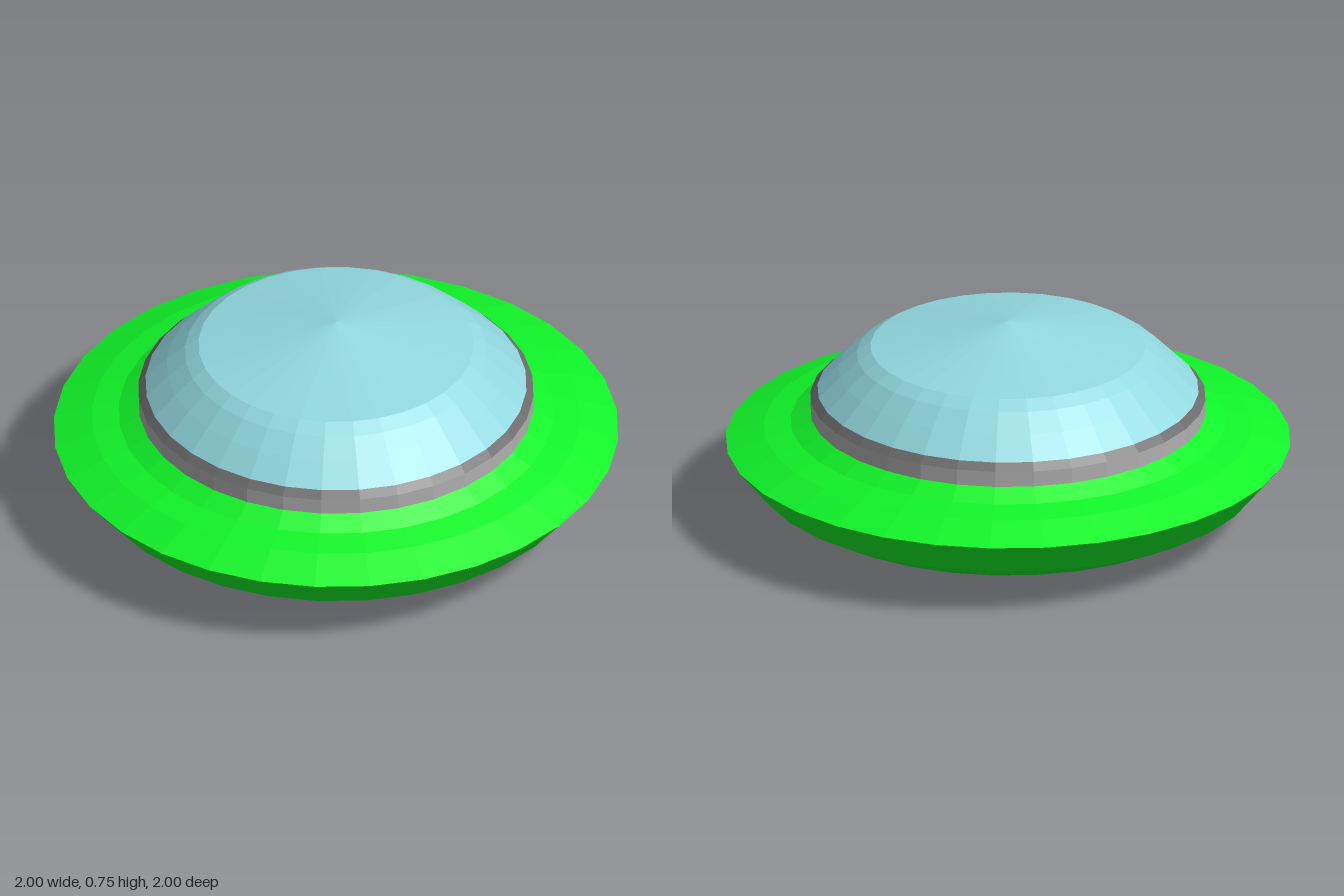
import * as THREE from 'three';

const SIDES = 32;

function material(color) {
  return new THREE.MeshStandardMaterial({ color, flatShading: true });
}

// Faceted solid of revolution; profile runs from bottom to top as [radius, y]
function turned(name, profile, color, sides = SIDES) {
  const points = profile.map(([r, y]) => new THREE.Vector2(r, y));
  const mesh = new THREE.Mesh(new THREE.LatheGeometry(points, sides), material(color));
  mesh.name = name;
  return mesh;
}

export function createModel() {
  const saucer = new THREE.Group();
  saucer.name = 'flyingSaucer';

  // Hull: shallow bowl below the rim, sloping deck above
  saucer.add(turned('hull', [
    [0, 0.035], [0.41, 0.054], [0.77, 0.09], [0.89, 0.155], [1, 0.29],
    [0.865, 0.34], [0.77, 0.362], [0.7, 0.4],
  ], 0x10f528));

  // Band around the cockpit with a darker bevel on top
  saucer.add(turned('cockpitBand', [[0.7, 0.4], [0.7, 0.457]], 0xb0b0b0));
  saucer.add(turned('bandBevel', [[0.7, 0.457], [0.675, 0.483]], 0x6c6c6c));

  // Glass dome ending in a low cone
  saucer.add(turned('dome', [
    [0.675, 0.483], [0.6, 0.558], [0.535, 0.617], [0.487, 0.648], [0, 0.745],
  ], 0x92d8e0));

  // Oval landing pad, longer from front to back, with a narrower neck
  const pad = new THREE.Group();
  pad.name = 'landingPad';
  pad.add(turned('padNeck', [[0.41, 0.028], [0.41, 0.056]], 0x080808, 48));
  pad.add(turned('padDisc', [[0, 0], [0.495, 0], [0.495, 0.028], [0, 0.028]], 0x080808, 48));
  pad.scale.z = 1.16;
  saucer.add(pad);

  return saucer;
}
